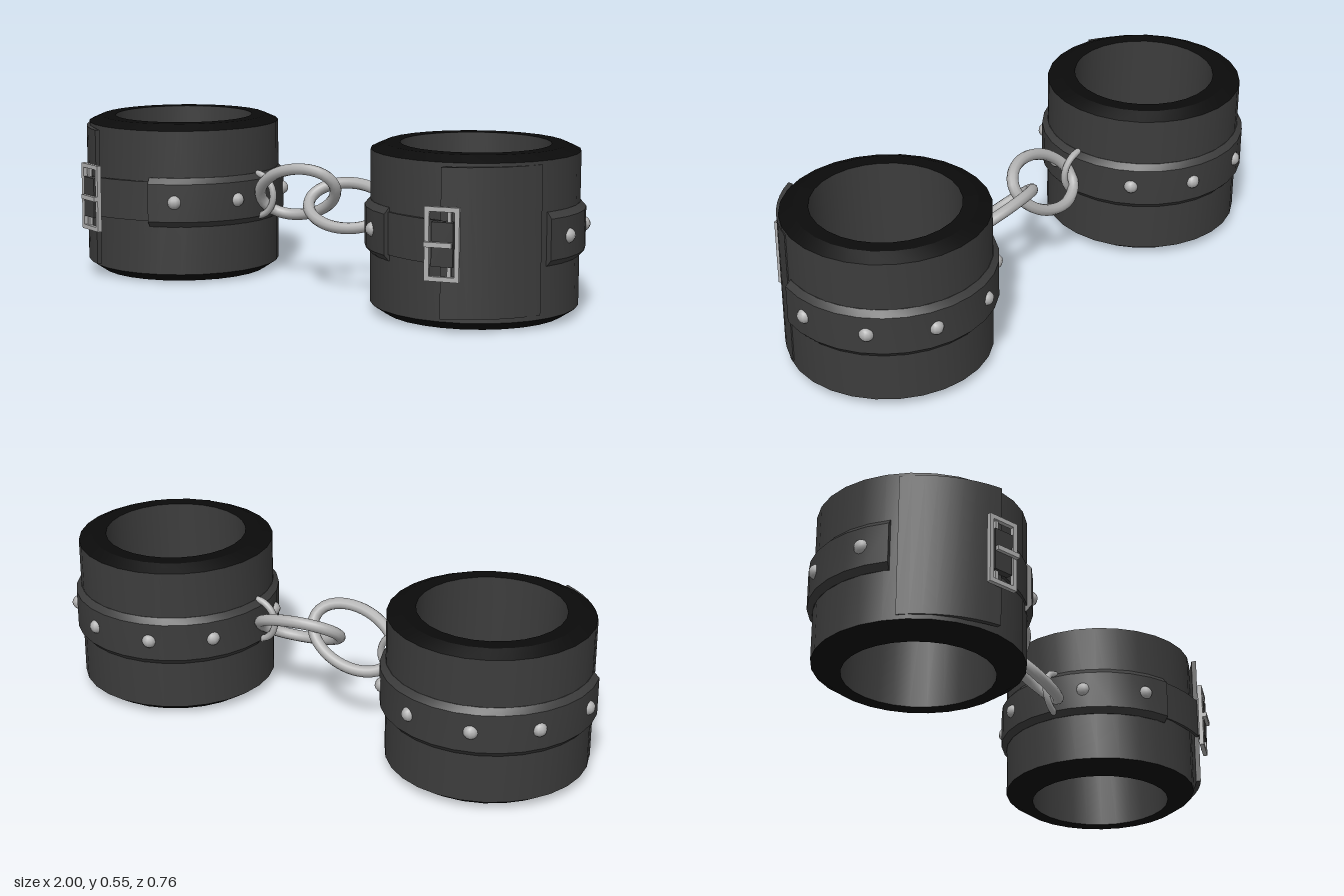
import * as THREE from 'three';
import { toCreasedNormals } from 'three/addons/utils/BufferGeometryUtils.js';

const leather = new THREE.MeshStandardMaterial({ color: 0x3c3c3c });
const padding = new THREE.MeshStandardMaterial({ color: 0x0b0b0b });
const metal = new THREE.MeshStandardMaterial({ color: 0xb0b0b0 });

const RAD = Math.PI / 180;
const MID_Y = 0.285;
const SIDES = 28;

function add(parent, name, geometry, material, x = 0, y = 0, z = 0) {
  const mesh = new THREE.Mesh(geometry, material);
  mesh.name = name;
  mesh.position.set(x, y, z);
  parent.add(mesh);
  return mesh;
}

function lathe(points) {
  const g = new THREE.LatheGeometry(points.map(([r, y]) => new THREE.Vector2(r, y)), SIDES);
  return toCreasedNormals(g, 0.35);
}

// Sweeps a convex (radius, height) profile around the cuff between two angles;
// lift(t) pushes the band outward along its length
function band(profile, from, to, steps, lift = () => 0) {
  const n = profile.length, pos = [];
  const at = (i, j) => {
    const t = i / steps, a = (from + (to - from) * t) * RAD;
    const r = profile[j % n][0] + lift(t);
    return [r * Math.cos(a), profile[j % n][1], r * Math.sin(a)];
  };
  for (let i = 0; i < steps; i++) {
    for (let j = 0; j < n; j++) {
      const a = at(i, j), b = at(i, j + 1), c = at(i + 1, j + 1), d = at(i + 1, j);
      pos.push(...a, ...b, ...c, ...a, ...c, ...d);
    }
  }
  // End caps
  for (let j = 1; j < n - 1; j++) {
    pos.push(...at(0, 0), ...at(0, j + 1), ...at(0, j));
    pos.push(...at(steps, 0), ...at(steps, j), ...at(steps, j + 1));
  }
  const g = new THREE.BufferGeometry();
  g.setAttribute('position', new THREE.Float32BufferAttribute(pos, 3));
  return toCreasedNormals(g, 0.4);
}

function createBuckle() {
  const buckle = new THREE.Group();
  buckle.name = 'buckle';
  const frame = new THREE.Shape();
  const rect = (path, w, h) => {
    path.moveTo(-w, -h).lineTo(w, -h).lineTo(w, h).lineTo(-w, h).closePath();
    return path;
  };
  rect(frame, 0.056, 0.117);
  frame.holes.push(rect(new THREE.Path(), 0.041, 0.102));
  add(buckle, 'buckleFrame',
    new THREE.ExtrudeGeometry(frame, { depth: 0.015, bevelEnabled: false }), metal, 0, 0, -0.01);
  add(buckle, 'buckleBar', new THREE.BoxGeometry(0.012, 0.21, 0.012), metal, 0.022, 0, -0.008);
  add(buckle, 'strapLoop', new THREE.BoxGeometry(0.07, 0.14, 0.024), leather, 0.002, 0, -0.005);
  add(buckle, 'prong', new THREE.BoxGeometry(0.09, 0.016, 0.014), metal, -0.01, 0, 0.012);
  return buckle;
}

// One cuff, with its fastening on the outer front and its ring on the -x side
function createCuff(name) {
  const cuff = new THREE.Group();
  cuff.name = name;

  // Body, black padded rims and lining
  add(cuff, 'outerWall', lathe([[0.34, 0.03], [0.34, 0.533]]), leather);
  add(cuff, 'topRim', lathe([[0.34, 0.533], [0.295, 0.553], [0.245, 0.553]]), padding);
  add(cuff, 'bottomRim', lathe([[0.245, 0], [0.295, 0], [0.34, 0.03]]), padding);
  add(cuff, 'lining', lathe([[0.245, 0.553], [0.245, 0]]), leather);

  // Overlapping end that lifts toward the buckle
  add(cuff, 'overlapFlap', band(
    [[0.325, 0.045], [0.342, 0.045], [0.342, 0.522], [0.325, 0.522]],
    20, 74, 8, t => 0.028 * t * t), leather);

  // Raised belt with bevelled edges
  add(cuff, 'belt', band(
    [[0.33, 0.198], [0.341, 0.198], [0.359, 0.218], [0.359, 0.35], [0.341, 0.37], [0.33, 0.37]],
    -250, 16, 22), leather);

  // Thin tongue running from the belt into the buckle
  add(cuff, 'tongue', band(
    [[0.333, 0.218], [0.344, 0.218], [0.344, 0.356], [0.333, 0.356]],
    70, 111, 6, t => 0.032 * (1 - t) ** 2), leather);

  const a = 72.5 * RAD;
  const buckle = createBuckle();
  buckle.position.set(0.386 * Math.cos(a), MID_Y, 0.386 * Math.sin(a));
  buckle.rotation.y = Math.PI / 2 - a;
  cuff.add(buckle);

  // Studs
  const studGeometry = new THREE.SphereGeometry(0.025, 10, 8);
  for (const deg of [1, -36, -72, -109, -145, -198, -235]) {
    const t = deg * RAD;
    add(cuff, 'stud', studGeometry, metal, 0.351 * Math.cos(t), MID_Y + 0.002, 0.351 * Math.sin(t));
  }

  // Half ring holding the chain
  const ring = add(cuff, 'anchorRing',
    new THREE.TorusGeometry(0.075, 0.012, 8, 16, Math.PI), metal, -0.335, MID_Y + 0.007, 0);
  ring.rotation.z = Math.PI / 2;
  return cuff;
}

// Oval link lying in the plane of its long axis u and short axis v
function createLink(center, u, v, a, b) {
  const c = new THREE.Vector3(...center);
  const long = new THREE.Vector3(...u).normalize();
  const short = new THREE.Vector3(...v);
  short.addScaledVector(long, -short.dot(long)).normalize();
  const points = [];
  for (let i = 0; i < 16; i++) {
    const t = i / 16 * Math.PI * 2;
    points.push(c.clone().addScaledVector(long, a * Math.cos(t)).addScaledVector(short, b * Math.sin(t)));
  }
  return new THREE.TubeGeometry(new THREE.CatmullRomCurve3(points, true), 40, 0.02, 10, true);
}

export function createModel() {
  const model = new THREE.Group();
  model.name = 'cuffs';

  const left = createCuff('leftCuff');
  left.position.set(0.626, 0, -0.02);
  const right = createCuff('rightCuff');
  right.position.set(-0.62, 0, -0.02);
  right.scale.x = -1;
  model.add(left, right);

  // Two interlocked chain links
  add(model, 'rightChainLink',
    createLink([-0.102, 0.318, -0.02], [1, 0.34, 0], [0, 0.82, 0.57], 0.157, 0.1), metal);
  add(model, 'leftChainLink',
    createLink([0.113, 0.293, -0.02], [1, -0.1, -0.06], [0, 0.63, -0.77], 0.15, 0.1), metal);
  return model;
}
